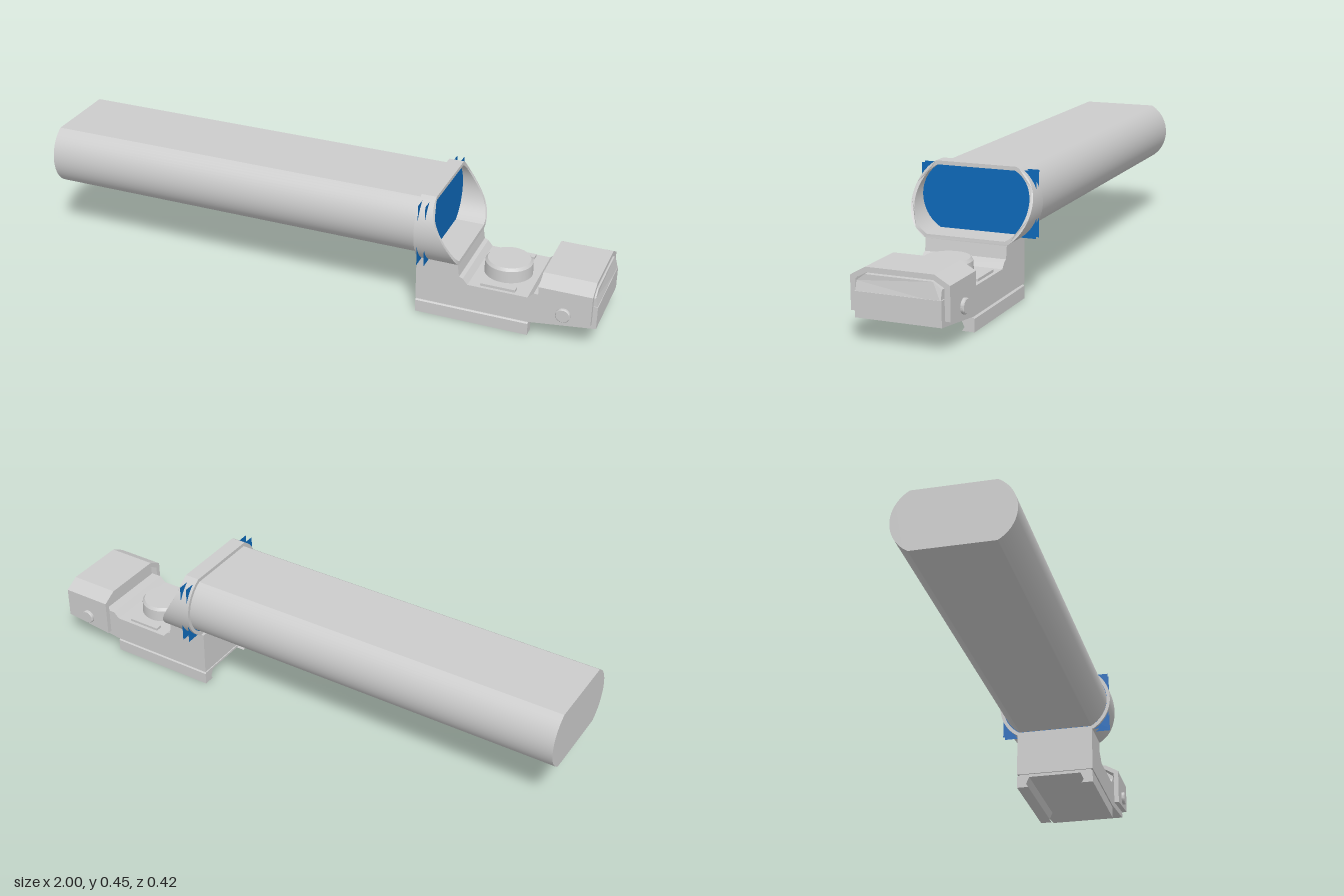
import * as THREE from 'three';
import { toCreasedNormals } from 'three/addons/utils/BufferGeometryUtils.js';

const grey = new THREE.MeshStandardMaterial({ color: 0xcccccc });
const blue = new THREE.MeshStandardMaterial({ color: 0x0d68b8, side: THREE.DoubleSide });

const toShape = pts => new THREE.Shape(pts.map(p => new THREE.Vector2(p[0], p[1])));

// Mirror a half section [z, y] across z = 0 into a closed outline
const mirror = half => [...half, ...half.map(([z, y]) => [-z, y]).reverse()];

// Extrude a (z, y) section along x
function alongX(shape, x0, x1) {
  const g = new THREE.ExtrudeGeometry(shape, { depth: x1 - x0, bevelEnabled: false });
  return g.rotateY(Math.PI / 2).translate(x0, 0, 0);
}

// Extrude an (x, y) profile symmetrically across z
function acrossZ(pts, halfWidth) {
  const g = new THREE.ExtrudeGeometry(toShape(pts), { depth: halfWidth * 2, bevelEnabled: false });
  return g.translate(0, 0, -halfWidth);
}

// Oval with flat top and bottom and arched sides
function oval(halfWidth, flat, cy, halfHeight) {
  const c = (halfWidth ** 2 - flat ** 2 - halfHeight ** 2) / (2 * (halfWidth - flat));
  const r = halfWidth - c;
  const a = Math.asin(halfHeight / r);
  const half = [];
  for (let i = 0; i <= 24; i++) {
    const t = -a + (2 * a * i) / 24;
    half.push([c + r * Math.cos(t), cy + r * Math.sin(t)]);
  }
  return mirror(half);
}

function moveVertices(g, rule) {
  const p = g.attributes.position;
  const v = new THREE.Vector3();
  for (let i = 0; i < p.count; i++) {
    rule(v.fromBufferAttribute(p, i));
    p.setXYZ(i, v.x, v.y, v.z);
  }
  g.computeVertexNormals();
  return g;
}

export function createModel() {
  const model = new THREE.Group();
  const add = (name, geometry, material = grey) => {
    const mesh = new THREE.Mesh(geometry, material);
    mesh.name = name;
    model.add(mesh);
    return mesh;
  };

  // Long oval tube
  add('tube', toCreasedNormals(alongX(toShape(oval(0.198, 0.137, 0.335, 0.105)), -1, 0.392), 0.4));

  // Hood ring with a front edge that sweeps forward towards the bottom
  const ring = toShape(oval(0.212, 0.142, 0.333, 0.12));
  ring.holes.push(toShape(oval(0.2, 0.137, 0.333, 0.107)));
  const hood = moveVertices(alongX(ring, 0.385, 0.5), v => {
    if (v.x > 0.45) v.x = 0.438 + 0.086 * (1 - THREE.MathUtils.smoothstep(v.y, 0.214, 0.44));
  });
  add('hood', toCreasedNormals(hood, 0.4));

  // Two thin panes whose corners reach past the hood
  for (const x of [0.395, 0.42]) {
    const pane = new THREE.PlaneGeometry(0.406, 0.223).rotateY(Math.PI / 2);
    add('lens', pane.translate(x, 0.3285, 0), blue);
  }

  // Main body, stepped in front of the hood and sloping up underneath
  add('body', acrossZ([
    [0.375, 0.052], [0.775, 0.052], [1, 0.08], [1, 0.162], [0.785, 0.165],
    [0.765, 0.145], [0.557, 0.145], [0.54, 0.165], [0.527, 0.17], [0.52, 0.216], [0.375, 0.216],
  ], 0.143));

  // Raised emitter block under the cover
  const block = mirror([[0.14, 0.155], [0.14, 0.193], [0.112, 0.214]]);
  add('emitterBlock', moveVertices(alongX(toShape(block), 0.825, 1), v => {
    if (v.x > 0.9 && v.y > 0.17) v.x = 0.99;
  }));

  // Folded cover, its lower edges following the sloped body
  const cover = [
    ...mirror([[0.164, 0.075], [0.164, 0.206], [0.113, 0.235]]),
    ...mirror([[0.146, 0.075], [0.146, 0.197], [0.11, 0.218]]).reverse(),
  ];
  // Reorder so the outline runs along the outside, then back along the inside
  const outer = cover.slice(0, 6), inner = cover.slice(6);
  add('cover', moveVertices(alongX(toShape([...outer, ...inner]), 0.805, 0.985), v => {
    if (v.y < 0.08) v.y += (v.x - 0.805) * 0.12;
  }));

  // Cover screws
  for (const side of [-1, 1]) {
    const profile = [[0, -0.015], [0.025, -0.015], [0.025, 0.009], [0.022, 0.012], [0, 0.012]];
    const g = new THREE.LatheGeometry(profile.map(p => new THREE.Vector2(...p)), 24);
    const screw = add('coverScrew', toCreasedNormals(g, 0.4));
    screw.rotation.x = side * Math.PI / 2;
    screw.position.set(0.893, 0.121, side * 0.163);
  }

  // Adjustment knob
  const knob = [[0, 0.14], [0.083, 0.14], [0.081, 0.187], [0.073, 0.197], [0, 0.197]];
  const knobGeo = new THREE.LatheGeometry(knob.map(p => new THREE.Vector2(...p)), 40);
  add('knob', toCreasedNormals(knobGeo, 0.4)).position.x = 0.658;

  // Low shoulders beside the knob
  for (const side of [-1, 1]) {
    const g = new THREE.BoxGeometry(0.12, 0.012, 0.025);
    add('shoulder', g).position.set(0.658, 0.148, side * 0.118);
  }

  // Spacer and dovetail rail clamp
  add('spacer', new THREE.BoxGeometry(0.39, 0.014, 0.272)).position.set(0.575, 0.048, 0);
  const clamp = [
    [0.143, 0], [0.143, 0.043], [0.139, 0.047], [-0.139, 0.047], [-0.143, 0.043], [-0.143, 0],
    [-0.101, 0], [-0.109, 0.013], [-0.097, 0.039], [0.097, 0.039], [0.109, 0.013], [0.101, 0],
  ];
  add('railClamp', alongX(toShape(clamp), 0.375, 0.772));

  return model;
}
